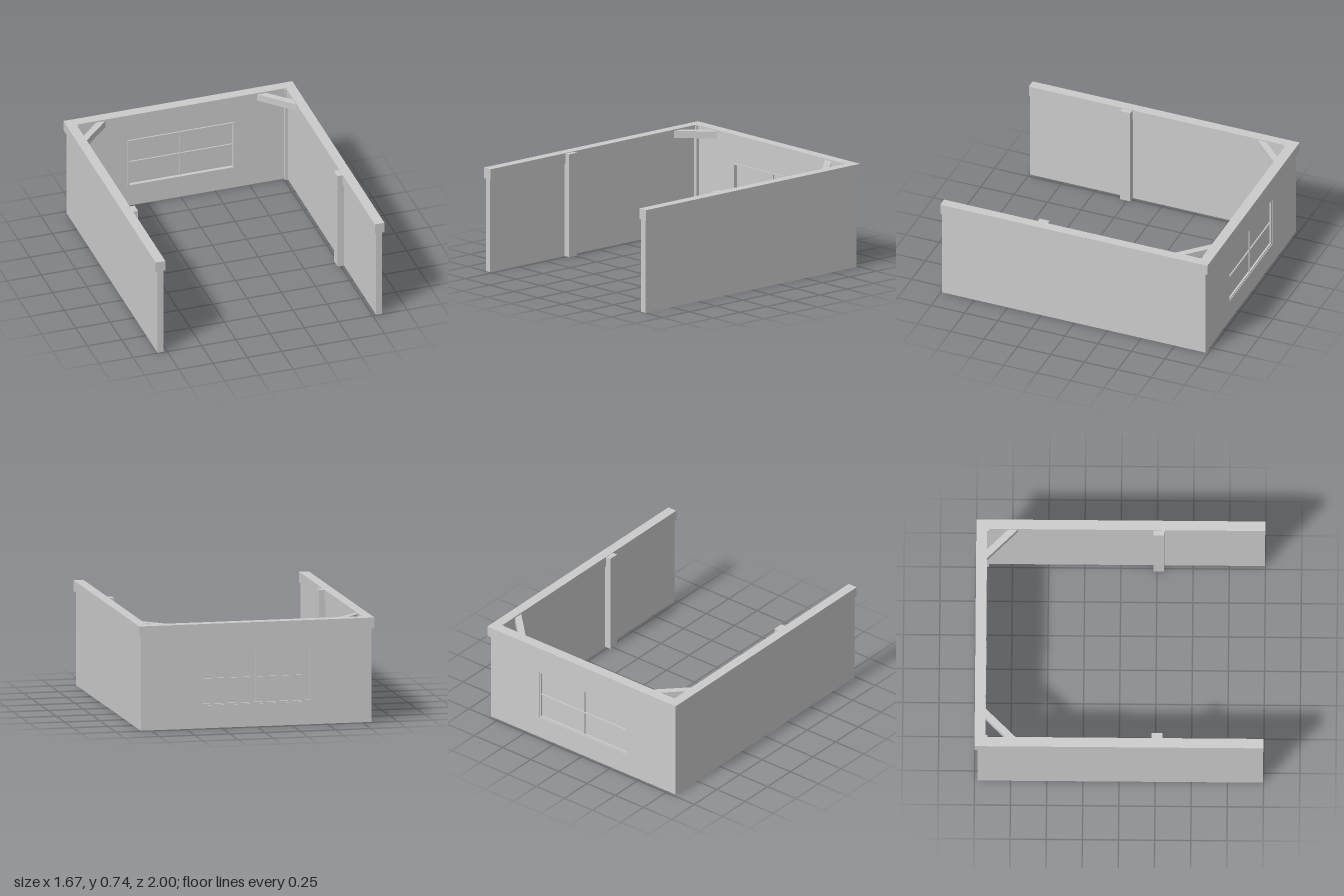
import * as THREE from 'three';

const material = new THREE.MeshStandardMaterial({ color: 0xcccccc, flatShading: true });

function add(group, name, geometry) {
  const mesh = new THREE.Mesh(geometry, material);
  mesh.name = name;
  group.add(mesh);
  return mesh;
}

// Box given by its two opposite corners
function box(group, name, [x0, y0, z0], [x1, y1, z1]) {
  const mesh = add(group, name, new THREE.BoxGeometry(Math.abs(x1 - x0), y1 - y0, z1 - z0));
  mesh.position.set((x0 + x1) / 2, (y0 + y1) / 2, (z0 + z1) / 2);
  return mesh;
}

// Floor plan in x and z, raised from y0 to y1
function slab(group, name, plan, y0, y1) {
  const shape = new THREE.Shape(plan.map(([x, z]) => new THREE.Vector2(x, z)));
  const geometry = new THREE.ExtrudeGeometry(shape, { depth: y1 - y0, bevelEnabled: false });
  geometry.rotateX(Math.PI / 2).translate(0, y1, 0);
  return add(group, name, geometry);
}

const rectangle = (Type, x0, y0, x1, y1) => new Type([
  new THREE.Vector2(x0, y0), new THREE.Vector2(x1, y0),
  new THREE.Vector2(x1, y1), new THREE.Vector2(x0, y1),
]);

// Upright panel with a rectangular opening, from z0 to z1
function framedPanel(group, name, outer, hole, z0, z1) {
  const shape = rectangle(THREE.Shape, ...outer);
  shape.holes.push(rectangle(THREE.Path, ...hole));
  const geometry = new THREE.ExtrudeGeometry(shape, { depth: z1 - z0, bevelEnabled: false });
  return add(group, name, geometry.translate(0, 0, z0));
}

export function createModel() {
  const model = new THREE.Group();
  model.name = 'openShelter';

  // Top beam running round three sides
  slab(model, 'topBeam', [
    [-0.835, 1], [-0.835, -1], [0.835, -1], [0.835, 1],
    [0.765, 1], [0.765, -0.925], [-0.765, -0.925], [-0.765, 1],
  ], 0.66, 0.735);

  // Back wall with the window opening
  const opening = [-0.39, 0.16, 0.39, 0.53];
  framedPanel(model, 'backWall', [-0.775, 0, 0.775, 0.66], opening, -0.98, -0.935);

  // Window: frame, pane and glazing bars
  const win = new THREE.Group();
  win.name = 'window';
  model.add(win);
  framedPanel(win, 'windowFrame', opening, [-0.38, 0.17, 0.38, 0.52], -0.975, -0.925);
  box(win, 'windowPane', [-0.38, 0.17, -0.962], [0.38, 0.52, -0.952]);
  box(win, 'verticalBar', [-0.003, 0.17, -0.972], [0.003, 0.52, -0.942]);
  box(win, 'horizontalBar', [-0.38, 0.342, -0.972], [0.38, 0.348, -0.942]);

  // Side walls, posts and braces, mirrored
  for (const [side, s] of [['left', 1], ['right', -1]]) {
    box(model, side + 'Wall', [s * 0.775, 0, -0.98], [s * 0.82, 0.66, 0.995]);
    box(model, side + 'Post', [s * 0.728, 0, 0.225], [s * 0.775, 0.732, 0.3]);
    box(model, side + 'CornerPost', [s * 0.752, 0, -0.935], [s * 0.775, 0.73, -0.912]);
    slab(model, side + 'Brace', [
      [s * 0.765, -0.78], [s * 0.62, -0.925], [s * 0.553, -0.925], [s * 0.765, -0.713],
    ], 0.675, 0.725);
  }

  return model;
}
